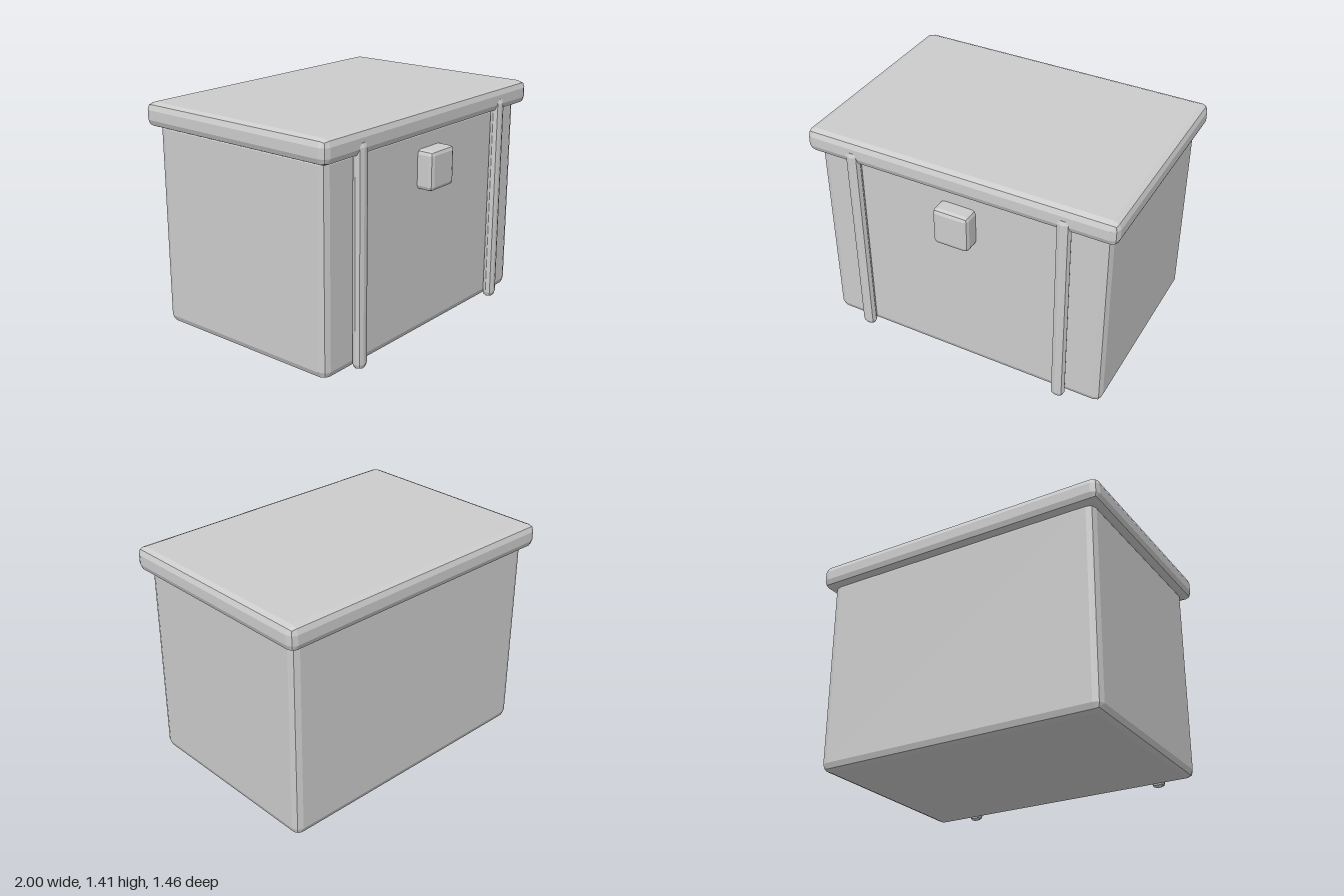
import * as THREE from 'three';
import { RoundedBoxGeometry } from 'three/addons/geometries/RoundedBoxGeometry.js';

const material = new THREE.MeshStandardMaterial({ color: 0xcccccc, flatShading: true });

// Box with a two-step bevel, given by its [min, max] extents on each axis
function bevelBox(name, [x0, x1], [y0, y1], [z0, z1], radius) {
  const geometry = new RoundedBoxGeometry(x1 - x0, y1 - y0, z1 - z0, 1, radius);
  const mesh = new THREE.Mesh(geometry, material);
  mesh.position.set((x0 + x1) / 2, (y0 + y1) / 2, (z0 + z1) / 2);
  mesh.name = name;
  return mesh;
}

export function createModel() {
  const group = new THREE.Group();
  group.name = 'chest';

  // Main box and overhanging lid
  group.add(bevelBox('body', [-0.945, 0.945], [0, 1.3], [-0.673, 0.624], 0.048));
  group.add(bevelBox('lid', [-1, 1], [1.262, 1.412], [-0.728, 0.68], 0.045));

  // Vertical straps on the front, mirrored
  for (const side of [-1, 1]) {
    const x = side * 0.682;
    const name = side > 0 ? 'leftStrap' : 'rightStrap';
    group.add(bevelBox(name, [x - 0.044, x + 0.044], [0, 1.35], [0.621, 0.692], 0.035));
  }

  // Latch plate
  group.add(bevelBox('latch', [-0.115, 0.115], [0.927, 1.17], [0.6, 0.728], 0.027));

  return group;
}
